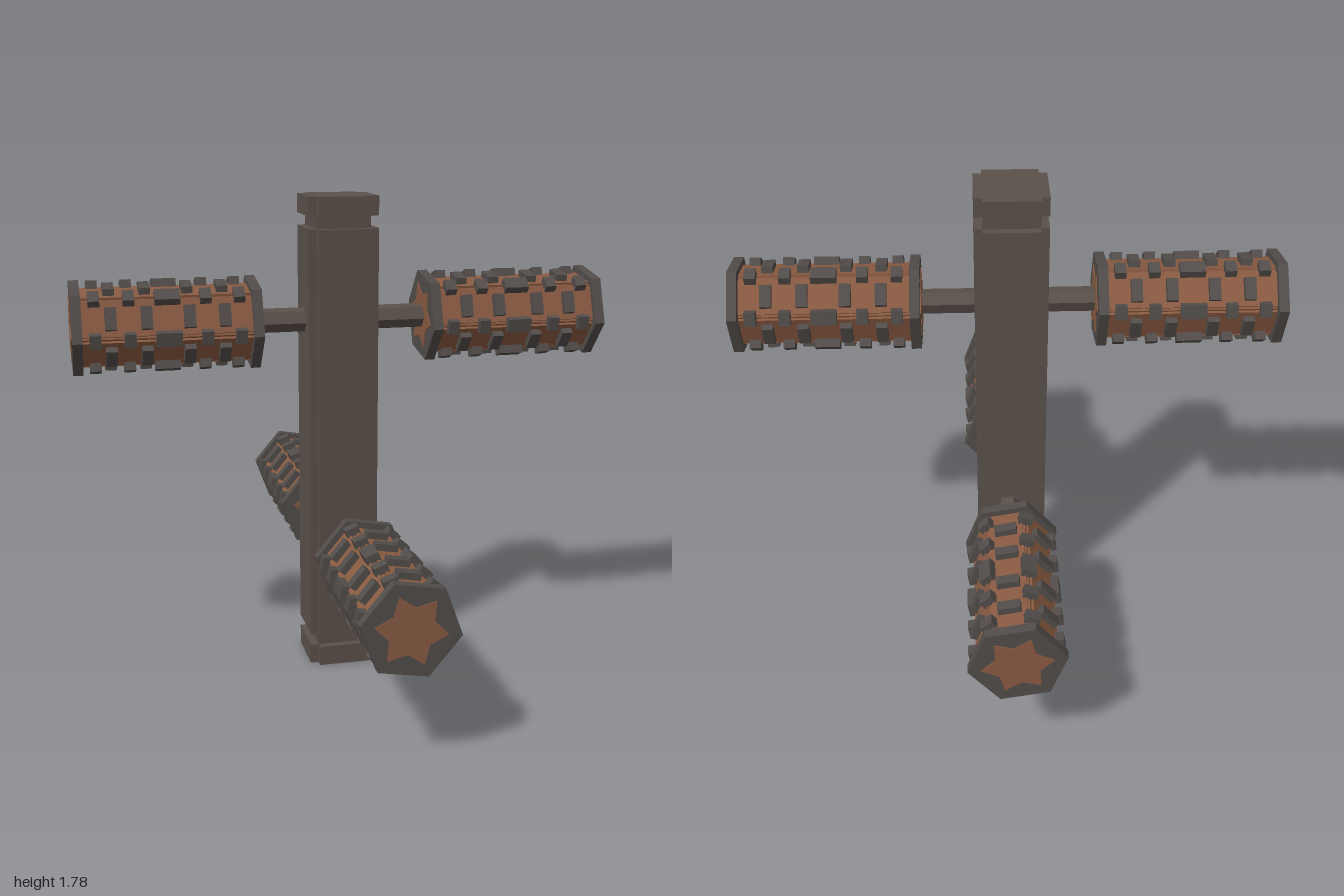
import * as THREE from 'three';

const rad = THREE.MathUtils.degToRad;
const TILT = rad(-10);          // roll of the hexagonal drums around their axle
const STEP = Math.PI / 3;

function material(name, color) {
  const m = new THREE.MeshStandardMaterial({ color });
  m.name = name;
  return m;
}

function add(parent, name, geometry, mat) {
  const mesh = new THREE.Mesh(geometry, mat);
  mesh.name = name;
  parent.add(mesh);
  return mesh;
}

// Hexagonal prism along x, between x0 and x1
function hexPrism(r, x0, x1) {
  return new THREE.CylinderGeometry(r, r, x1 - x0, 6, 1, false, TILT)
    .toNonIndexed().rotateZ(Math.PI / 2).translate((x0 + x1) / 2, 0, 0);
}

function flat(geometry) {
  geometry.computeVertexNormals();
  return geometry;
}

// Square column section with notched corners, between y0 and y1
function notchedColumn(y0, y1) {
  const h = 0.13, a = 0.1;
  const shape = new THREE.Shape([
    [h, -a], [h, a], [a, a], [a, h], [-a, h], [-a, a],
    [-h, a], [-h, -a], [-a, -a], [-a, -h], [a, -h], [a, -a],
  ].map(([x, y]) => new THREE.Vector2(x, y)));
  return new THREE.ExtrudeGeometry(shape, { depth: y1 - y0, bevelEnabled: false })
    .rotateX(-Math.PI / 2).translate(0, y0, 0);
}

// Thin six-pointed plate facing along x
function starPlate(x) {
  const pts = [];
  for (let i = 0; i < 12; i++) {
    const r = i % 2 ? 0.08 : 0.125, t = TILT + i * STEP / 2;
    pts.push(new THREE.Vector2(-Math.cos(t) * r, Math.sin(t) * r));
  }
  return new THREE.ExtrudeGeometry(new THREE.Shape(pts), { depth: 0.006, bevelEnabled: false })
    .translate(0, 0, -0.003).rotateY(Math.PI / 2).translate(x, 0, 0);
}

export function createModel() {
  const model = new THREE.Group();
  model.name = 'trainingPost';
  const postWood = material('dark post wood', 0x5b504a);
  const drumWood = material('brown drum wood', 0x8a5b42);
  const iron = material('dark iron', 0x524d4a);

  // Central post: square core with a notched shaft and two end blocks
  const post = new THREE.Group();
  post.name = 'post';
  post.position.set(-0.01, 0, -0.006);
  post.rotation.y = rad(10);
  model.add(post);
  add(post, 'postCore', new THREE.BoxGeometry(0.2, 1.7, 0.2).translate(0, 0.89, 0), postWood);
  add(post, 'postBase', notchedColumn(0, 0.075), postWood);
  add(post, 'postShaft', notchedColumn(0.12, 1.67), postWood);
  add(post, 'postCap', notchedColumn(1.715, 1.785), postWood);

  // Box lying on the drum at a given angle around the axle
  function stud(parent, name, mat, x, angle, radius, size) {
    const pivot = new THREE.Group();
    pivot.rotation.x = -angle;
    parent.add(pivot);
    add(pivot, name, new THREE.BoxGeometry(...size), mat).position.set(x, 0, radius);
  }

  // Studded drum, spanning x from -0.3375 to 0.3375
  function drum() {
    const g = new THREE.Group();
    g.name = 'drum';
    const end = 0.335;
    add(g, 'drumCore', flat(hexPrism(0.137, -end + 0.01, end - 0.01)), drumWood);
    for (const s of [-1, 1]) {
      const a = s * end, b = s * (end - 0.036);
      add(g, 'rim', flat(hexPrism(0.172, Math.min(a, b), Math.max(a, b))), iron);
      add(g, 'endStar', starPlate(a), drumWood);
    }
    for (let i = 0; i < 6; i++) {
      const edge = TILT + i * STEP, face = edge + STEP / 2;
      stud(g, 'plank', drumWood, 0, face, 0.12, [0.62, 0.122, 0.016]);
      for (const x of [-0.2, -0.075, 0.075, 0.2])
        stud(g, 'faceStud', iron, x, face, 0.135, [0.04, 0.08, 0.034]);
      for (const x of [-0.255, -0.135, 0, 0.135, 0.255])
        stud(g, 'edgeStud', iron, x, edge, 0.146, [x ? 0.04 : 0.09, 0.05, 0.036]);
    }
    return g;
  }

  // Two crossing arms, each an axle with a drum at either end
  function arm(name, y, turn) {
    const g = new THREE.Group();
    g.name = name;
    g.position.y = y;
    g.rotation.y = turn;
    add(g, 'axle', flat(hexPrism(0.045, -0.34, 0.34)), postWood);
    for (const s of [-1, 1]) {
      const d = drum();
      d.position.x = s * 0.648;
      g.add(d);
    }
    model.add(g);
  }
  arm('upperArm', 1.333, rad(10));
  arm('lowerArm', 0.495, rad(100));

  return model;
}
